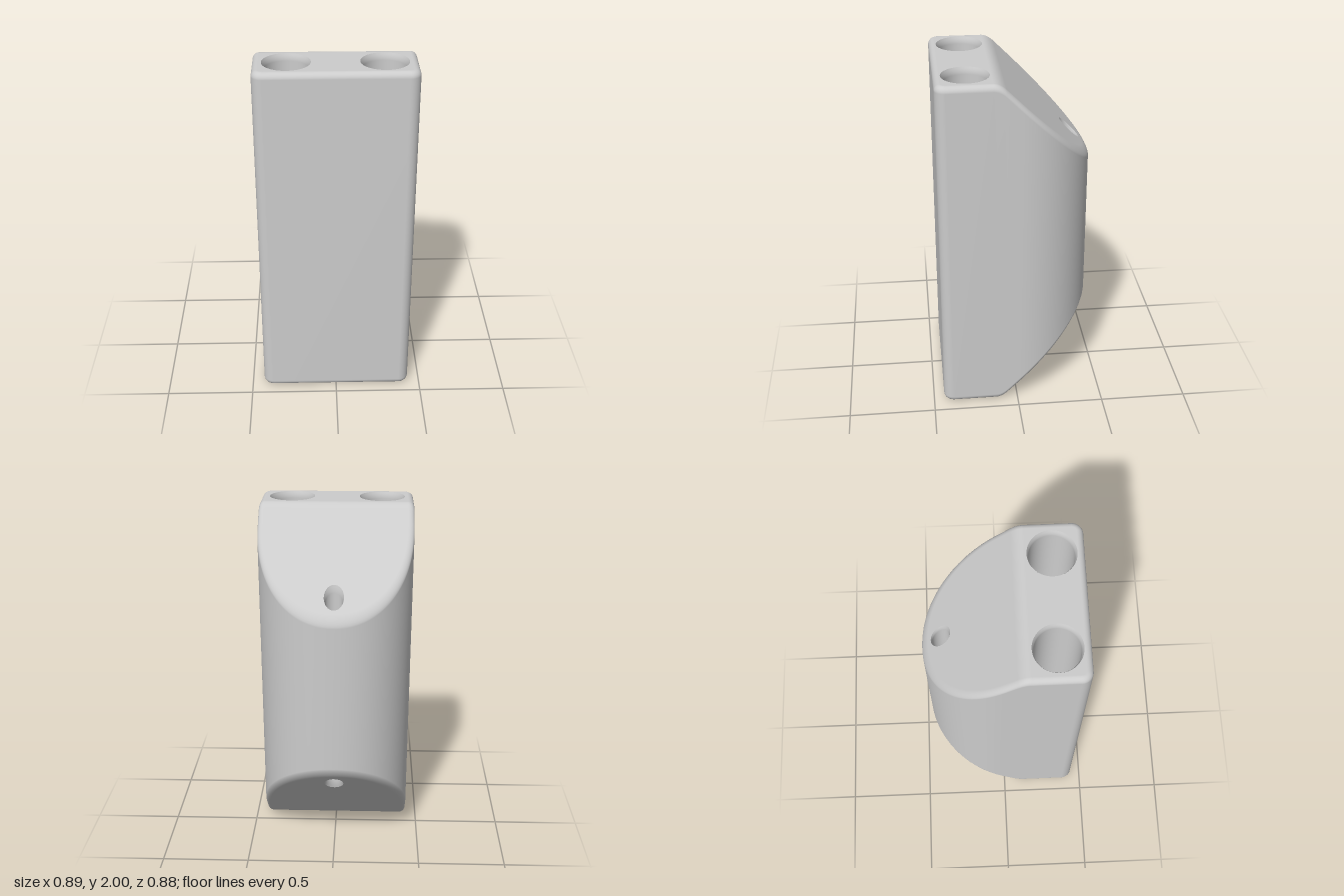
import * as THREE from 'three';

const HALF = 0.445;   // half width and back radius
const FRONT = 0.44;   // z of the flat front
const BEVEL = 0.036;  // rounding of the end edges
const FOLD = 0.095;   // z where the ends turn into 45 degree slopes
const SOFT = 0.035;   // half width of the softened fold
const FOLD_STEPS = 6;
const HOLES = [
  { name: 'leftHole', x: 0.262, z: 0.268, r: 0.122, mouth: 0.132 },
  { name: 'rightHole', x: -0.262, z: 0.268, r: 0.122, mouth: 0.132 },
  { name: 'smallHole', x: 0, z: -0.336, r: 0.05, mouth: 0.056 },
];

// Height of the upper end at depth z, and its slope
function topY(z) {
  const t = FOLD - z;
  if (t <= -SOFT) return 2;
  return 2 - (t >= SOFT ? t : (t + SOFT) ** 2 / (4 * SOFT));
}
const slope = (z) => THREE.MathUtils.clamp((FOLD - z + SOFT) / (2 * SOFT), 0, 1);
const endNormal = (z, side) => new THREE.Vector3(0, side, -slope(z)).normalize();
const taper = (y) => 0.97 + 0.015 * y;

// D-shaped outline (x, z): flat front, rounded corners, arched back
function outline() {
  const half = [];
  const c = 0.06;
  for (let i = 0; i <= 8; i++) {
    const a = (i / 8) * Math.PI / 2;
    half.push([HALF - c + c * Math.sin(a), FRONT - c + c * Math.cos(a)]);
  }
  for (let i = 0; i <= FOLD_STEPS; i++) half.push([HALF, FOLD + SOFT - (2 * SOFT * i) / FOLD_STEPS]);
  for (let i = 0; i < 28; i++) {
    const a = (i / 28) * Math.PI / 2, e = 2 / 2.12;
    half.push([HALF * Math.cos(a) ** e, -HALF * Math.sin(a) ** e]);
  }
  const mirrored = half.map(([x, z]) => [-x, z]).reverse();
  return [...half, [0, -HALF], ...mirrored];
}

// Outline moved inwards along its normals
function inset(points, d) {
  const n = points.length;
  return points.map(([x, z], i) => {
    const p = points[(i + n - 1) % n], q = points[(i + 1) % n];
    const dx = q[0] - p[0], dz = q[1] - p[1], l = Math.hypot(dx, dz);
    return [x + (dz / l) * d, z - (dx / l) * d];
  });
}

// Skin over closed rings of [x, y, z], ordered from top to bottom
function loft(rings) {
  const n = rings[0].length, index = [];
  for (let i = 0; i < rings.length - 1; i++) {
    for (let j = 0; j < n; j++) {
      const k = (j + 1) % n;
      const a = i * n + j, b = i * n + k, c = a + n, d = b + n;
      index.push(a, c, b, b, c, d);
    }
  }
  const flat = rings.flat().flatMap(([x, y, z]) => [x * taper(y), y, z]);
  const g = new THREE.BufferGeometry();
  g.setAttribute('position', new THREE.Float32BufferAttribute(flat, 3));
  g.setIndex(index);
  g.computeVertexNormals();
  return g;
}

// Side wall including its rounded end edges
function wallGeometry() {
  const points = outline(), upper = [], steps = 6;
  for (let i = 0; i <= steps; i++) {
    const a = (1 - i / steps) * Math.PI / 2;
    const ring = inset(points, BEVEL * (1 - Math.cos(a)));
    upper.push(ring.map(([x, z]) => [x, topY(z) - BEVEL * (1 - Math.sin(a)), z]));
  }
  const lower = upper.map((r) => r.map(([x, y, z]) => [x, 2 - y, z])).reverse();
  const g = loft([...upper, ...lower]);
  // The outermost rings shade like the flat ends they meet
  const n = points.length, pos = g.attributes.position, last = pos.count - n;
  for (let j = 0; j < n; j++) {
    for (const [k, side] of [[j, 1], [last + j, -1]]) {
      const v = endNormal(pos.getZ(k), side);
      g.attributes.normal.setXYZ(k, v.x, v.y, v.z);
    }
  }
  return g;
}

// Circle of [x, z], running so that a loft faces its axis
function circle(h, r) {
  return Array.from({ length: 40 }, (_, i) => {
    const a = (i / 40) * Math.PI * 2;
    return [h.x + r * Math.cos(a), h.z + r * Math.sin(a)];
  });
}

// Bore with slightly flared mouths
function boreGeometry(h) {
  const upper = [];
  for (let i = 0; i <= 4; i++) {
    const t = i / 4;
    const r = h.r + (h.mouth - h.r) * (1 - t) ** 2;
    upper.push(circle(h, r).map(([x, z]) => [x, topY(z) - 0.04 * t, z]));
  }
  const lower = upper.map((r) => r.map(([x, y, z]) => [x, 2 - y, z])).reverse();
  return loft([...upper, ...lower]);
}

// Lay a flat (x, -z) geometry onto the upper (side 1) or lower (side -1) end
function layOnEnd(g, side) {
  const pos = g.attributes.position;
  for (let i = 0; i < pos.count; i++) {
    const x = pos.getX(i), z = -pos.getY(i);
    const y = side > 0 ? topY(z) : 2 - topY(z);
    const v = endNormal(z, side);
    pos.setXYZ(i, x * taper(y), y, z);
    g.attributes.normal.setXYZ(i, v.x, v.y, v.z);
  }
  if (side < 0) g.setIndex(Array.from(g.index.array).reverse());
  return g;
}

// Flat face cut from the inset outline, with hole openings
function faceGeometry(keep, holes) {
  const vec = ([x, z]) => new THREE.Vector2(x, -z);
  const shape = new THREE.Shape(inset(outline(), BEVEL).filter(([, z]) => keep(z)).map(vec));
  for (const h of holes) shape.holes.push(new THREE.Path(circle(h, h.mouth).map(vec)));
  return new THREE.ShapeGeometry(shape);
}

export function createModel() {
  const group = new THREE.Group();
  const grey = new THREE.MeshStandardMaterial({ color: 0xcccccc });
  grey.name = 'light grey';
  const add = (name, geometry) => {
    const mesh = new THREE.Mesh(geometry, grey);
    mesh.name = name;
    group.add(mesh);
  };

  add('sideWall', wallGeometry());
  for (const h of HOLES) add(h.name, boreGeometry(h));

  // Both ends: level face, softened fold, sloping face
  for (const [end, side] of [['upper', 1], ['lower', -1]]) {
    const level = faceGeometry((z) => z > FOLD + SOFT - 1e-4, HOLES.slice(0, 2));
    const sloping = faceGeometry((z) => z < FOLD - SOFT + 1e-4, HOLES.slice(2));
    const fold = new THREE.PlaneGeometry(2 * (HALF - BEVEL), 2 * SOFT, 1, FOLD_STEPS);
    fold.translate(0, -FOLD, 0);
    add(end + 'LevelFace', layOnEnd(level, side));
    add(end + 'Fold', layOnEnd(fold, side));
    add(end + 'SlopingFace', layOnEnd(sloping, side));
  }
  return group;
}
